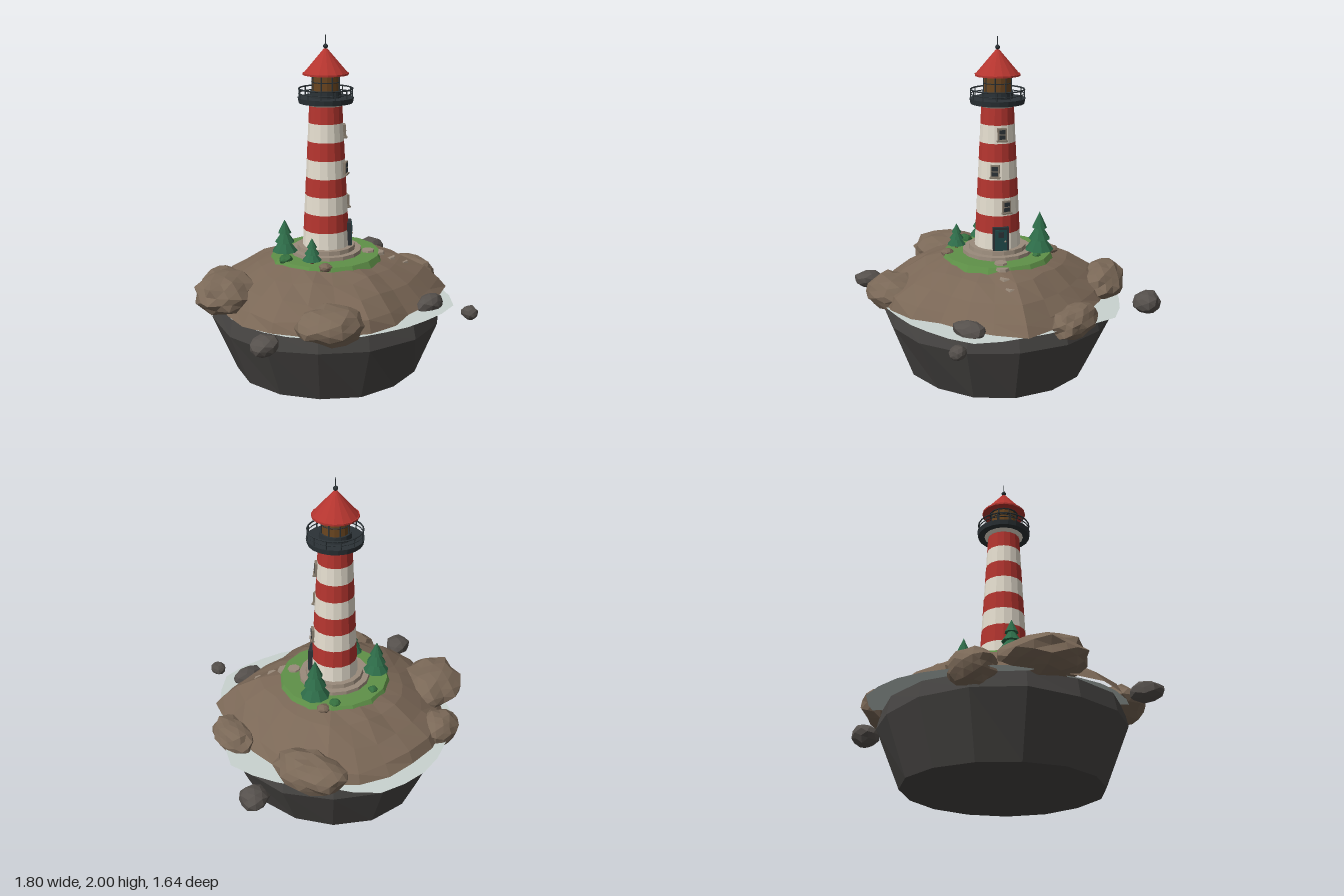
import * as THREE from 'three';

const CX = -0.022, CZ = -0.05; // tower and island axis

const mat = (color, side = THREE.FrontSide) =>
  new THREE.MeshStandardMaterial({ color, flatShading: true, side });
const M = {
  earth: mat(0x7a6756), boulder: mat(0x7a6857), hull: mat(0x474543), slate: mat(0x55504c),
  foam: mat(0xc9d3d0, THREE.DoubleSide), grass: mat(0x5f9148), stone: mat(0x9a8b7b),
  red: mat(0xb5352f), white: mat(0xe6dfd0), metal: mat(0x2b3236), glass: mat(0x6b4620),
  door: mat(0x1f4a4a), frame: mat(0x8a7f70), tree: mat(0x2d6b48), bush: mat(0x35703f), trunk: mat(0x5b4030),
};

// repeatable noise in -1..1
const noise = (a, b = 0, c = 0) => {
  const s = Math.sin(a * 12.99 + b * 78.23 + c * 37.72) * 43758.55;
  return (s - Math.floor(s)) * 2 - 1;
};

function add(parent, name, geometry, material, x = 0, y = 0, z = 0) {
  const mesh = new THREE.Mesh(geometry, material);
  mesh.name = name;
  mesh.position.set(x, y, z);
  parent.add(mesh);
  return mesh;
}

const cyl = (rTop, rBottom, h, n = 16, open = false) => new THREE.CylinderGeometry(rTop, rBottom, h, n, 1, open);

// value of a radius list at angle fraction u (0..1, from +x towards +z)
function radiusAt(list, u) {
  const f = u * list.length, i = Math.floor(f);
  return THREE.MathUtils.lerp(list[i % list.length], list[(i + 1) % list.length], f - i);
}

// skin over rings listed from top to bottom; point(ring, u, j) gives [radius, y]
function loft(sides, rings, point) {
  const pos = [], index = [];
  for (let i = 0; i < rings; i++) {
    for (let j = 0; j < sides; j++) {
      const a = (j / sides) * Math.PI * 2, [r, y] = point(i, j / sides, j);
      pos.push(Math.cos(a) * r, y, Math.sin(a) * r);
      if (i === rings - 1) continue;
      const p = i * sides + j, q = i * sides + ((j + 1) % sides);
      index.push(p, q, p + sides, q, q + sides, p + sides);
    }
  }
  const g = new THREE.BufferGeometry();
  g.setAttribute('position', new THREE.Float32BufferAttribute(pos, 3));
  g.setIndex(index);
  g.computeVertexNormals();
  return g;
}

// lumpy faceted rock
function rock(parent, name, material, [x, y, z], [rx, ry, rz], turn = 0, detail = 1) {
  const g = new THREE.IcosahedronGeometry(1, detail), p = g.attributes.position;
  const v = new THREE.Vector3();
  for (let i = 0; i < p.count; i++) {
    v.fromBufferAttribute(p, i);
    const k = [v.x, v.y, v.z].map((c) => Math.round(c * 50) / 50 + 0);
    v.multiplyScalar(1 + 0.1 * noise(k[0] + x, k[1] + y, k[2] + z));
    p.setXYZ(i, v.x, v.y, v.z);
  }
  g.scale(rx, ry, rz);
  g.computeVertexNormals();
  add(parent, name, g, material, x, y, z).rotation.y = turn;
}

function buildIsland(root) {
  const island = new THREE.Group();
  island.name = 'island';
  island.position.set(CX, 0, CZ);
  root.add(island);

  // brown mound with an uneven rim
  const rim = [.62, .63, .73, .64, .6, .69, .69, .7, .71, .66, .66, .68, .67, .7, .69, .63];
  const mound = [[0, .73], [.45, .722], [.62, .685], [.8, .615], [.94, .54], [1, .485]];
  add(island, 'mound', loft(24, mound.length, (i, u, j) => {
    const [t, y] = mound[i], wob = i > 1 && i < 5 ? 1 : 0;
    return [radiusAt(rim, u) * (t + wob * 0.025 * noise(i, j)), y + wob * 0.014 * noise(j, i)];
  }), M.earth);

  // dark rock hull below
  const hull = [[.67, .475], [.69, .38], [.555, .05], [0, .005]];
  add(island, 'rockHull', loft(15, 4, (i, u, j) => {
    const [r, y] = hull[i];
    return [r * (1 + (i < 2 ? 0.025 : 0.012) * noise(j, i < 2 ? 1 : 5)), y + (i === 1 ? 0.01 * noise(j, 8) : 0)];
  }), M.hull);

  // pale foam sheet around the shoreline
  const shore = [.78, .68, .7, .77, .715, .69, .7, .7, .69, .66, .72, .72, .76, .78, .7, .73];
  add(island, 'foam', loft(32, 2, (i, u) => [i ? radiusAt(shore, u) : 0, .478]), M.foam);

  // grass patch
  const lawn = [[0, .742], [.315, .738], [.335, .7]];
  add(island, 'grass', loft(16, 3, (i) => lawn[i]), M.grass);

  // shore boulders, then dark rocks around the island
  rock(root, 'boulder', M.boulder, [-.57, .57, -.33], [.24, .11, .18], .5, 2);
  rock(root, 'boulder', M.boulder, [-.34, .5, -.6], [.14, .1, .115], 0, 2);
  rock(root, 'boulder', M.boulder, [.49, .53, -.43], [.13, .115, .22], .35, 2);
  rock(root, 'boulder', M.boulder, [.6, .49, .14], [.1, .095, .17], -.1, 2);
  rock(root, 'boulder', M.boulder, [-.48, .525, .36], [.19, .1, .17], -.5, 2);
  rock(root, 'darkRock', M.slate, [.175, .49, .56], [.1, .06, .065]);
  rock(root, 'darkRock', M.slate, [.82, .485, -.35], [.08, .07, .08]);
  rock(root, 'darkRock', M.slate, [-.815, .475, .2], [.095, .055, .075], .4);
  rock(root, 'darkRock', M.slate, [.255, .47, .78], [.045, .042, .048]);
}

function buildTree(root, x, z, r, top) {
  const tree = new THREE.Group();
  tree.name = 'tree';
  tree.position.set(x, 0, z);
  root.add(tree);
  add(tree, 'trunk', cyl(r * .16, r * .2, .09, 7), M.trunk, 0, .745, 0);
  const h = top - .76;
  [[1, 0, .5], [.76, .29, .45], [.52, .58, .42]].forEach(([s, y0, len], i) => {
    const tier = add(tree, 'foliage', new THREE.ConeGeometry(r * s, h * len, 9), M.tree, 0, .76 + h * (y0 + len / 2), 0);
    tier.rotation.y = i * .35;
  });
}

function buildGarden(root) {
  buildTree(root, .21, -.145, .085, .99);
  buildTree(root, -.225, -.195, .075, .95);
  buildTree(root, -.255, .04, .056, .89);
  [[-.3, -.12, .04], [.16, -.26, .032], [-.09, -.31, .027], [.225, -.09, .025]].forEach(([x, z, r]) =>
    rock(root, 'bush', M.bush, [x, .74, z], [r, r * .75, r]));
  [[-.255, .14, .038], [.24, -.25, .036]].forEach(([x, z, r]) =>
    rock(root, 'pebble', M.boulder, [x, .735, z], [r, r * .65, r]));
  // stepping stones down from the door
  [[.125, .15, .742], [.165, .195, .73], [.215, .24, .695], [.28, .287, .662]].forEach(([x, z, y], i) =>
    add(root, 'steppingStone', cyl(.036, .04, .016, 7), M.stone, x, y, z).rotation.y = i);
}

// group placed on the tower wall, its local +z pointing outwards
function onWall(tower, name, degrees, radius, y) {
  const turn = new THREE.Group(), g = new THREE.Group();
  turn.name = name;
  turn.rotation.y = THREE.MathUtils.degToRad(degrees);
  g.position.set(0, y, radius);
  turn.add(g);
  tower.add(turn);
  return g;
}

function buildTower(root) {
  const tower = new THREE.Group();
  tower.name = 'tower';
  tower.position.set(CX, 0, CZ);
  root.add(tower);

  // stepped plinth
  add(tower, 'plinthLower', cyl(.208, .215, .06, 16), M.stone, 0, .73, 0);
  add(tower, 'plinthUpper', cyl(.168, .175, .04, 16), M.stone, 0, .764, 0);

  // striped tapering shaft
  const y0 = .775, band = .105, wall = (y) => .138 - (y - y0) * .052;
  for (let i = 0; i < 8; i++) {
    const a = y0 + i * band;
    add(tower, i % 2 ? 'redBand' : 'whiteBand', cyl(wall(a + band), wall(a), band), i % 2 ? M.red : M.white, 0, a + band / 2, 0);
  }

  // door and windows
  const door = onWall(tower, 'door', 40, wall(.85), .85);
  add(door, 'doorFrame', new THREE.BoxGeometry(.092, .145, .03), M.metal);
  add(door, 'doorLeaf', new THREE.BoxGeometry(.07, .128, .036), M.door, 0, -.004, 0);
  add(door, 'doorPane', new THREE.BoxGeometry(.03, .035, .04), M.metal, 0, .03, 0);
  add(door, 'doorKnob', new THREE.IcosahedronGeometry(.006, 1), M.stone, .024, -.01, .021);
  [[56, 1.04], [25, 1.25], [46, 1.46]].forEach(([deg, y]) => {
    const w = onWall(tower, 'window', deg, wall(y), y);
    add(w, 'windowFrame', new THREE.BoxGeometry(.052, .072, .022), M.frame);
    add(w, 'windowPane', new THREE.BoxGeometry(.036, .054, .026), M.metal);
    add(w, 'windowBar', new THREE.BoxGeometry(.036, .005, .03), M.frame);
    add(w, 'windowSill', new THREE.BoxGeometry(.06, .009, .034), M.frame, 0, -.037, .003);
  });

  // gallery deck with railing
  add(tower, 'collar', cyl(.118, .1, .016), M.white, 0, 1.616, 0);
  add(tower, 'galleryDeck', cyl(.16, .155, .03, 20), M.metal, 0, 1.638, 0);
  [[1.702, .0045], [1.677, .003]].forEach(([y, t]) =>
    add(tower, 'rail', new THREE.TorusGeometry(.153, t, 6, 24), M.metal, 0, y, 0).rotation.x = Math.PI / 2);
  for (let i = 0; i < 12; i++) {
    const a = (i / 12) * Math.PI * 2;
    add(tower, 'railPost', cyl(.0035, .0035, .055, 5), M.metal, Math.cos(a) * .153, 1.677, Math.sin(a) * .153);
  }

  // lantern room
  add(tower, 'lanternBase', cyl(.088, .09, .04), M.metal, 0, 1.67, 0);
  add(tower, 'lanternGlass', cyl(.078, .078, .11), M.glass, 0, 1.735, 0);
  for (let i = 0; i < 8; i++) {
    const a = ((i + .5) / 8) * Math.PI * 2;
    add(tower, 'mullion', cyl(.004, .004, .11, 5), M.metal, Math.cos(a) * .08, 1.735, Math.sin(a) * .08);
  }
  add(tower, 'lanternBar', new THREE.TorusGeometry(.08, .003, 5, 16), M.metal, 0, 1.74, 0).rotation.x = Math.PI / 2;
  add(tower, 'lanternTop', cyl(.088, .088, .012), M.metal, 0, 1.782, 0);

  // roof and finial
  add(tower, 'roofBrim', cyl(.131, .131, .01), M.red, 0, 1.785, 0);
  add(tower, 'roof', cyl(.01, .126, .135), M.red, 0, 1.857, 0);
  add(tower, 'finialBall', new THREE.IcosahedronGeometry(.014, 1), M.metal, 0, 1.938, 0);
  add(tower, 'finialSpike', cyl(.002, .004, .07, 5), M.metal, 0, 1.965, 0);
}

export function createModel() {
  const root = new THREE.Group();
  root.name = 'lighthouseIsland';
  buildIsland(root);
  buildGarden(root);
  buildTower(root);
  return root;
}
